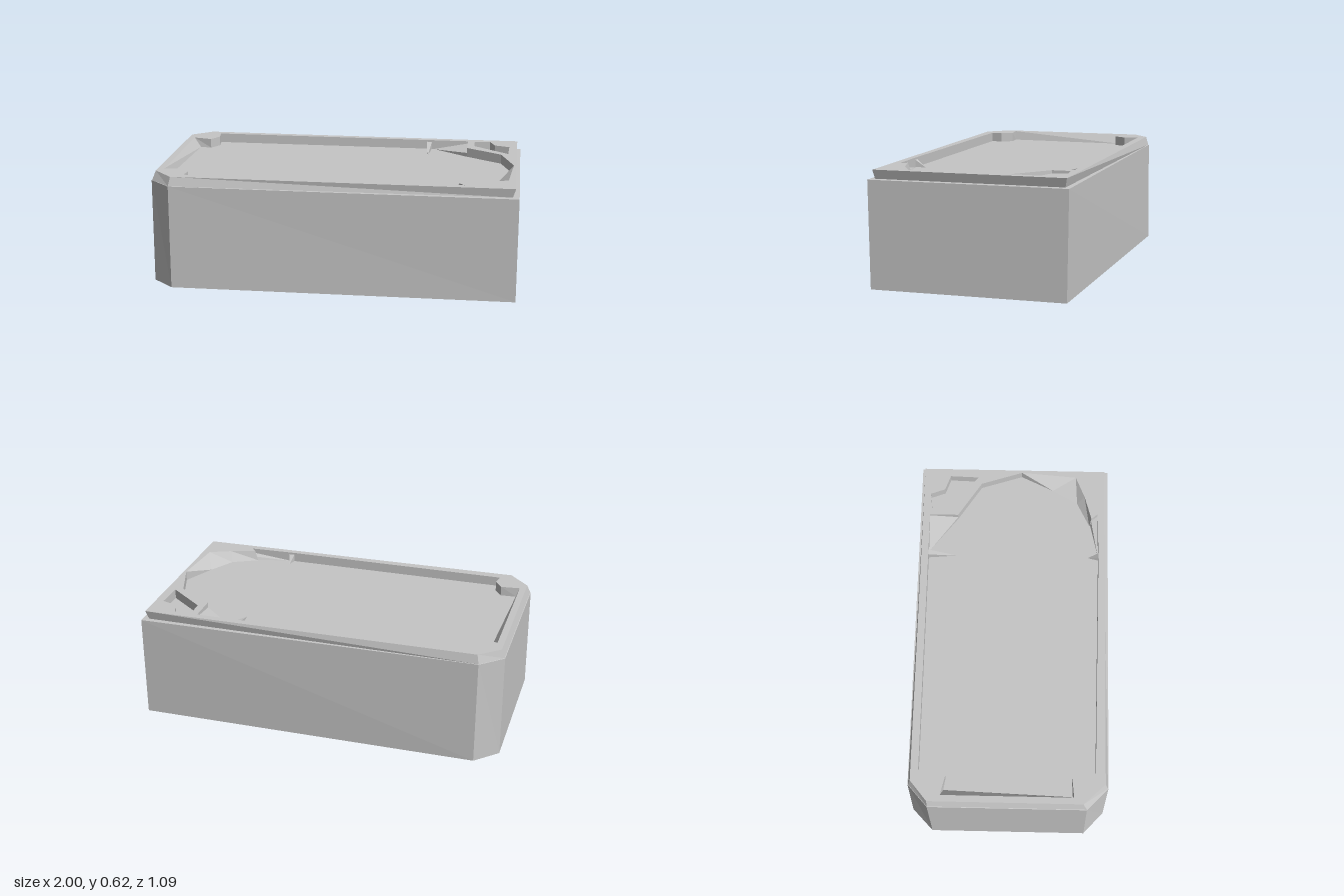
import * as THREE from 'three';
import { ConvexGeometry } from 'three/addons/geometries/ConvexGeometry.js';

const grey = new THREE.MeshStandardMaterial({ color: 0xc6c6c6 });
grey.name = 'plain grey';

// Outlines are [x, z] pairs, clockwise seen from above.
const base = [[-1, -0.43], [-0.88, -0.545], [1, -0.527], [1, 0.527], [-0.88, 0.54], [-1, 0.43]];
const shoulder = [[-1, -0.43], [-0.88, -0.537], [1, -0.535], [1, 0.535], [-0.88, 0.535], [-1, 0.42]];
const rimFoot = [[-0.997, -0.43], [-0.88, -0.534], [0.965, -0.507], [0.965, 0.507], [-0.88, 0.532], [-0.997, 0.42]];
const rimTop = [[-0.98, -0.43], [-0.87, -0.522], [0.98, -0.518], [0.98, 0.515], [-0.87, 0.517], [-0.98, 0.4]];
const basin = [
  [-0.945, -0.36], [-0.84, -0.335], [-0.8, -0.4], [-0.81, -0.48], [0.69, -0.48], [0.69, -0.32],
  [0.89, -0.19], [0.965, 0.04], [0.94, 0.35], [0.82, 0.4], [0.68, 0.44], [0.71, 0.475],
  [0.46, 0.48], [-0.81, 0.465], [-0.8, 0.4], [-0.84, 0.34], [-0.945, 0.35],
];
// The basin floor pulls inward at the sloped left end and front right corner.
const basinFloor = basin.map(p => [...p]);
basinFloor[0] = [-0.905, -0.345];
basinFloor[8] = [0.88, 0.22];
basinFloor[9] = [0.8, 0.36];
basinFloor[10] = [0.66, 0.43];
basinFloor[16] = [-0.93, 0.345];
const pocket = [[0.73, -0.47], [0.82, -0.48], [0.85, -0.4], [0.935, -0.37], [0.93, -0.21], [0.73, -0.37]];

const FLOOR = 0.572, SHOULDER = 0.575, TOP = 0.625;

// Flat strip of quads joining two matching outlines
function wall(a, ya, b, yb) {
  const pos = [];
  a.forEach((p, i) => {
    const j = (i + 1) % a.length;
    const A = [p[0], ya, p[1]], A2 = [a[j][0], ya, a[j][1]];
    const B = [b[i][0], yb, b[i][1]], B2 = [b[j][0], yb, b[j][1]];
    pos.push(...A, ...B, ...B2, ...A, ...B2, ...A2);
  });
  const g = new THREE.BufferGeometry();
  g.setAttribute('position', new THREE.Float32BufferAttribute(pos, 3));
  g.computeVertexNormals();
  return g;
}

// Horizontal face, optionally with holes, looking up or down
function cap(outline, y, holes = [], up = true) {
  const s = up ? -1 : 1;
  const pts = o => o.map(([x, z]) => new THREE.Vector2(x, s * z));
  const shape = new THREE.Shape(pts(outline));
  shape.holes = holes.map(h => new THREE.Path(pts(h)));
  return new THREE.ShapeGeometry(shape).rotateX(s * Math.PI / 2).translate(0, y, 0);
}

const solid = pts => new ConvexGeometry(pts.map(p => new THREE.Vector3(...p)));

export function createModel() {
  const model = new THREE.Group();
  const add = (name, ...geos) => {
    const part = new THREE.Group();
    part.name = name;
    geos.forEach(g => part.add(new THREE.Mesh(g, grey)));
    model.add(part);
  };

  // Block with two cut corners on its right-hand end
  add('body', cap(base, 0, [], false), wall(base, 0, shoulder, SHOULDER));

  // Ledge and raised rim
  add('rim',
    wall(shoulder, SHOULDER, rimFoot, SHOULDER + 0.001),
    wall(rimFoot, SHOULDER + 0.001, rimTop, TOP),
    cap(rimTop, TOP, [basin, pocket]));

  // Shallow sunken top
  add('basin', wall(basin, TOP, basinFloor, FLOOR), cap(basinFloor, FLOOR));
  add('cornerPocket', wall(pocket, TOP, pocket, FLOOR), cap(pocket, FLOOR));

  // Small fins against the long inner walls
  for (const [name, wallZ, tipZ] of [['backFin', -0.482, -0.31], ['frontFin', 0.482, 0.42]]) {
    add(name, solid([0.445, 0.475].flatMap(x => [
      [x, FLOOR - 0.005, wallZ], [x, 0.615, wallZ], [0.46, FLOOR - 0.005, tipZ],
    ])));
  }

  // Shallow ramp beside the back fin
  add('backRamp', solid([
    [0.48, 0.57, -0.482], [0.69, 0.57, -0.482], [0.69, 0.612, -0.482],
    [0.69, 0.57, -0.32], [0.69, 0.595, -0.32],
  ]));

  // Wedge near the front right corner
  add('frontWedge', solid([
    [0.46, 0.57, 0.48], [0.71, 0.57, 0.476], [0.71, 0.6, 0.476], [0.68, 0.57, 0.43], [0.68, 0.59, 0.44],
  ]));
  return model;
}
